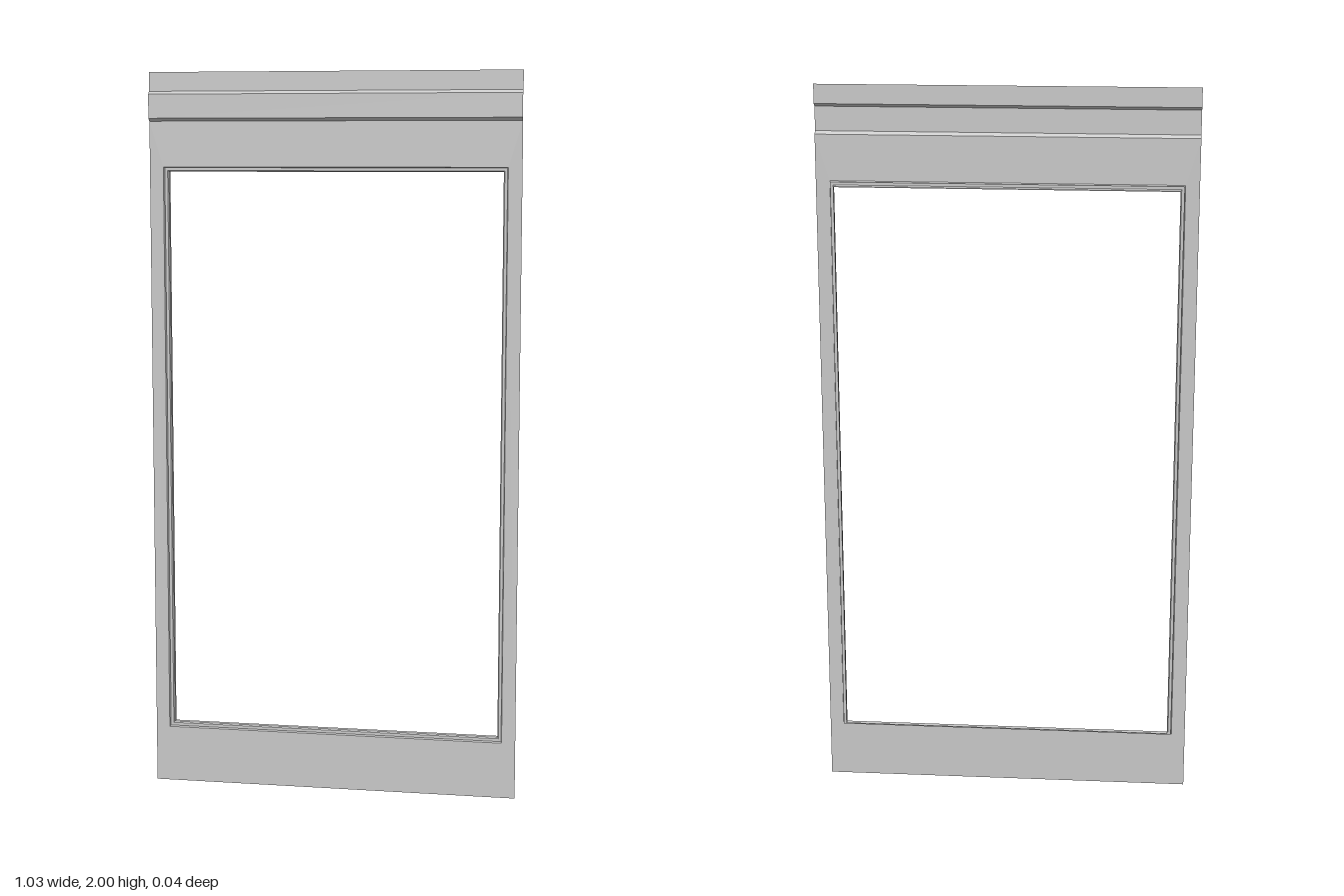
import * as THREE from 'three';

const HALF_W = 0.513;   // half width of the sheet
const SHEET_Z = 0.008;  // plane of the flat sheet
const BAND_Z = 0.018;   // plane of the raised band

// Flat-shaded surface from quads [a, b, c, d], counter-clockwise seen from outside
function quadSurface(quads) {
  const pos = [];
  for (const [a, b, c, d] of quads) pos.push(...a, ...b, ...c, ...a, ...c, ...d);
  const geo = new THREE.BufferGeometry();
  geo.setAttribute('position', new THREE.Float32BufferAttribute(pos, 3));
  geo.computeVertexNormals();
  return geo;
}

// Corners of a rectangular loop, counter-clockwise seen from the front
function loop(halfX, y0, y1, z) {
  return [[-halfX, y0, z], [halfX, y0, z], [halfX, y1, z], [-halfX, y1, z]];
}

export function createModel() {
  const group = new THREE.Group();
  const metal = new THREE.MeshStandardMaterial({ color: 0xc7c7c7, side: THREE.DoubleSide });
  metal.name = 'light grey sheet metal';
  const add = (name, geo) => {
    const mesh = new THREE.Mesh(geo, metal);
    mesh.name = name;
    group.add(mesh);
  };

  // Flat sheet with the window opening
  const top = 1.867;
  const opening = [0.475, 0.157, 1.743];
  const toPoints = (corners) => corners.map(([x, y]) => new THREE.Vector2(x, y));
  const shape = new THREE.Shape(toPoints(loop(HALF_W, 0, top, 0)));
  shape.holes.push(new THREE.Path(toPoints(loop(...opening, 0)).reverse()));
  const sheet = new THREE.ShapeGeometry(shape);
  sheet.translate(0, 0, SHEET_Z);
  add('frontSheet', sheet);

  // Pressed band and top edge: a [y, z] profile swept across the width
  const profile = [[top, SHEET_Z], [1.875, BAND_Z], [1.94, BAND_Z], [1.948, SHEET_Z], [2, SHEET_Z]];
  const strips = [];
  for (let i = 0; i < profile.length - 1; i++) {
    const [y0, z0] = profile[i], [y1, z1] = profile[i + 1];
    strips.push([[-HALF_W, y0, z0], [HALF_W, y0, z0], [HALF_W, y1, z1], [-HALF_W, y1, z1]]);
  }
  add('topBand', quadSurface(strips));

  // Stepped return around the opening, running backwards with bevelled bends
  const loops = [
    loop(...opening, SHEET_Z),
    loop(0.473, 0.159, 1.741, 0.005),
    loop(0.473, 0.159, 1.741, 0),
    loop(0.465, 0.167, 1.733, 0),
    loop(0.462, 0.17, 1.73, -0.003),
    loop(0.462, 0.17, 1.73, -0.018),
  ];
  const walls = [];
  for (let i = 0; i < loops.length - 1; i++) {
    const a = loops[i], b = loops[i + 1];
    for (let k = 0; k < 4; k++) {
      const n = (k + 1) % 4;
      walls.push([a[k], a[n], b[n], b[k]]);
    }
  }
  add('windowReturn', quadSurface(walls));

  return group;
}
